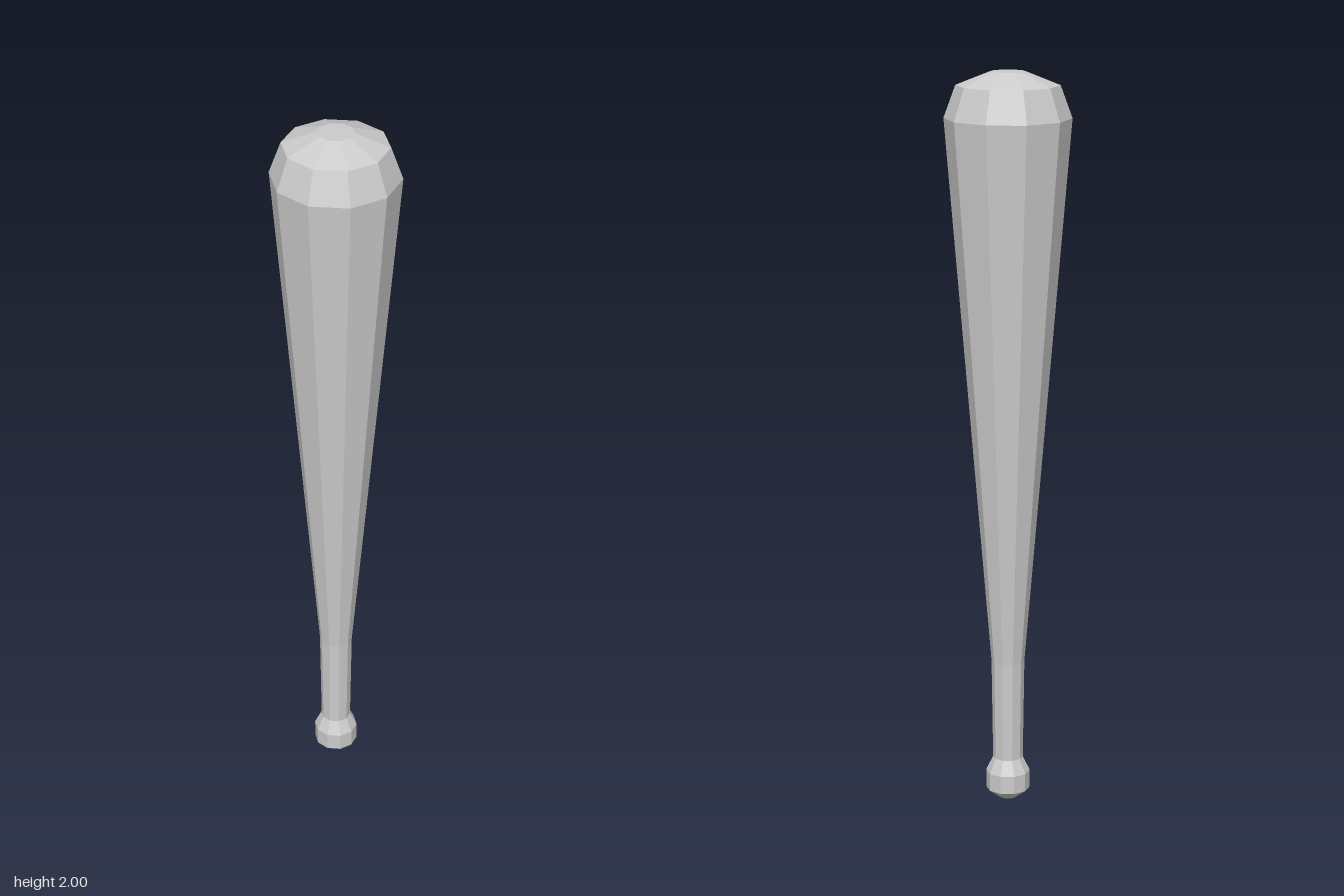
import * as THREE from 'three';

const SIDES = 10;

// Ten-sided turned part from [radius, height] pairs, with a corner on the x axis
function turned(name, profile, material) {
  const points = profile.map(([r, y]) => new THREE.Vector2(r, y));
  const mesh = new THREE.Mesh(new THREE.LatheGeometry(points, SIDES, Math.PI / 2), material);
  mesh.name = name;
  return mesh;
}

export function createModel() {
  const group = new THREE.Group();
  group.name = 'bat';
  const material = new THREE.MeshStandardMaterial({ color: 0xcccccc, flatShading: true });

  // Rounded knob at the foot of the grip
  group.add(turned('knob', [[0, 0], [0.025, 0.003], [0.06, 0.03], [0.06, 0.08], [0.041, 0.12]], material));
  // Slim grip
  group.add(turned('handle', [[0.041, 0.12], [0.045, 0.4]], material));
  // Widening barrel
  group.add(turned('barrel', [[0.045, 0.4], [0.167, 1.88]], material));
  // Bevelled shoulder and shallow domed end
  group.add(turned('endCap', [[0.167, 1.88], [0.136, 1.965], [0.047, 2], [0, 2]], material));

  return group;
}
